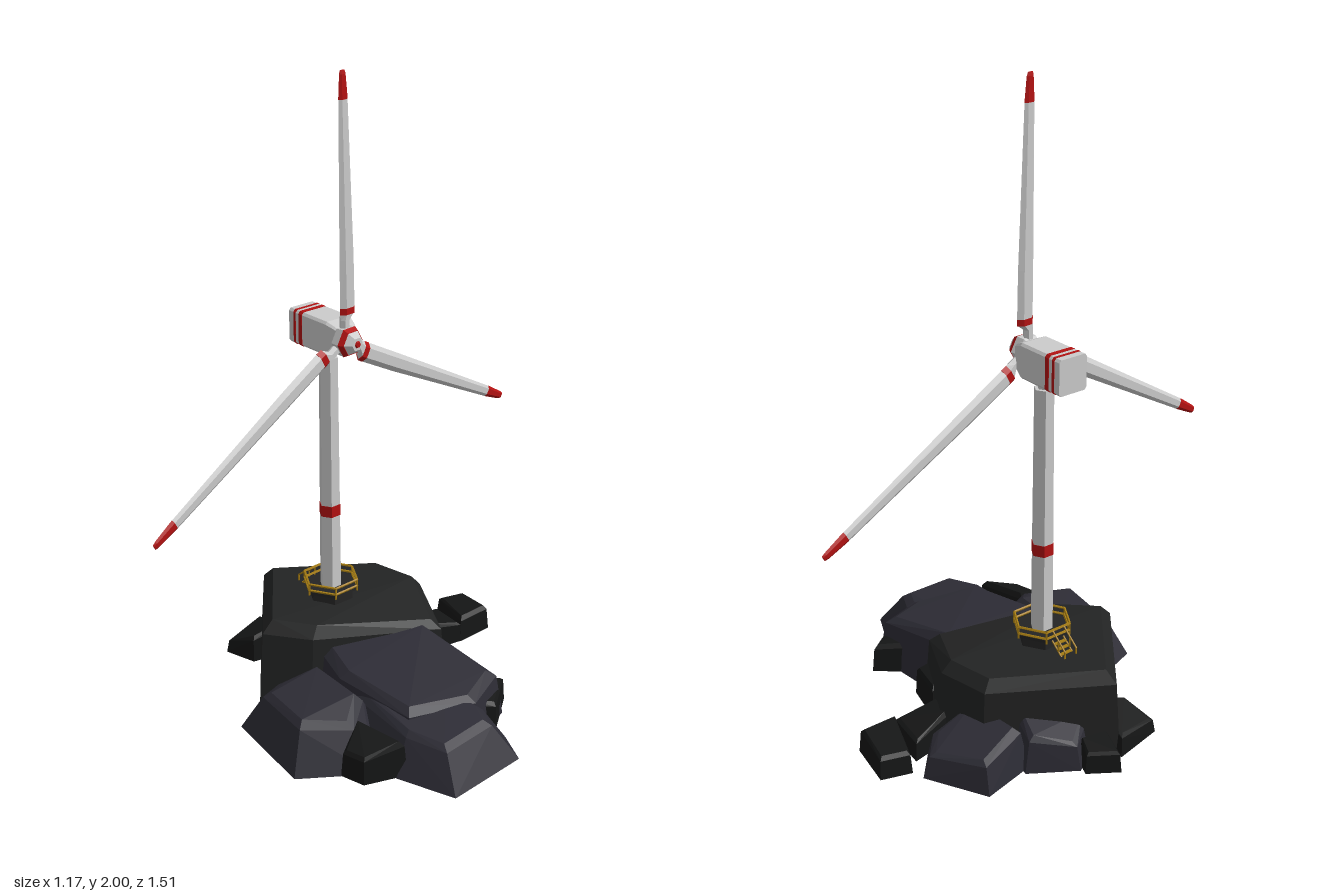
import * as THREE from 'three';
import { ConvexGeometry } from 'three/addons/geometries/ConvexGeometry.js';

const GREY = 0xcccccc, RED = 0xb31212, YELLOW = 0xa67d14, STEEL = 0x242424;
const ROCK = 0x222323, SLATE = 0x2d2c35, COAL = 0x151616;
const TOWER_X = -0.2, TOWER_Z = -0.011;

const materials = {};
const mat = (color) => (materials[color] ??= new THREE.MeshStandardMaterial({ color, flatShading: true }));

function add(parent, name, geometry, color, x = 0, y = 0, z = 0) {
  const mesh = new THREE.Mesh(geometry, mat(color));
  mesh.name = name;
  mesh.position.set(x, y, z);
  parent.add(mesh);
  return mesh;
}

// Capped skin along y. Sections are [y, halfX, halfZ, centreZ]; the profile is unit [x, z] corners.
function loft(sections, profile) {
  const n = profile.length, pos = [], index = [];
  for (const [y, rx, rz, cz = 0] of sections)
    for (const [px, pz] of profile) pos.push(px * rx, y, pz * rz + cz);
  for (let i = 0; i < sections.length - 1; i++)
    for (let j = 0; j < n; j++) {
      const a = i * n + j, b = i * n + (j + 1) % n;
      index.push(a, b, b + n, a, b + n, a + n);
    }
  const top = (sections.length - 1) * n;
  for (let j = 1; j < n - 1; j++) index.push(0, j + 1, j, top, top + j, top + j + 1);
  const g = new THREE.BufferGeometry();
  g.setAttribute('position', new THREE.Float32BufferAttribute(pos, 3));
  g.setIndex(index);
  const flat = g.toNonIndexed();
  flat.computeVertexNormals();
  return flat;
}
const HEX = Array.from({ length: 6 }, (_, k) => [Math.sin(k * Math.PI / 3), Math.cos(k * Math.PI / 3)]);
const CHAMFERED = [[-0.86, 1], [0.86, 1], [1, 0.86], [1, -0.86], [0.86, -1], [-0.86, -1], [-1, -0.86], [-1, 0.86]];

// Faceted boulder: footprint corners [x, z, height] with a shoulder and a smaller crown
function rock(parent, name, color, corners, shoulder = 0.9, crown = 0.72) {
  const cx = corners.reduce((s, p) => s + p[0], 0) / corners.length;
  const cz = corners.reduce((s, p) => s + p[1], 0) / corners.length;
  const pts = [];
  for (const [x, z, h] of corners)
    for (const [scale, y] of [[1, 0], [shoulder, h * 0.86], [crown, h]])
      pts.push(new THREE.Vector3(cx + (x - cx) * scale, y, cz + (z - cz) * scale));
  add(parent, name, new ConvexGeometry(pts), color);
}

// Round bar between two points
function bar(parent, name, a, b, r, color) {
  const p = new THREE.Vector3(...a), q = new THREE.Vector3(...b);
  const mesh = add(parent, name, new THREE.CylinderGeometry(r, r, p.distanceTo(q), 5), color);
  mesh.position.copy(p).lerp(q, 0.5);
  mesh.quaternion.setFromUnitVectors(new THREE.Vector3(0, 1, 0), q.sub(p).normalize());
}

function makeIsland() {
  const g = new THREE.Group();
  g.name = 'island';
  rock(g, 'mainRock', ROCK, [[-0.515, 0.04, 0.275], [-0.29, -0.31, 0.265], [-0.11, -0.345, 0.265],
    [0.12, -0.23, 0.225], [-0.06, 0.19, 0.275], [-0.19, 0.3, 0.285]], 0.95, 0.84);
  rock(g, 'rearRock', SLATE, [[-0.44, -0.4, 0.1], [-0.25, -0.5, 0.08], [-0.16, -0.42, 0.09],
    [-0.16, -0.24, 0.14], [-0.4, -0.22, 0.14]], 0.86, 0.72);
  rock(g, 'sideRock', SLATE, [[-0.51, -0.11, 0.09], [-0.42, -0.25, 0.12], [-0.25, -0.2, 0.16], [-0.42, 0.02, 0.12]], 0.86, 0.7);
  rock(g, 'ridgeRock', SLATE, [[-0.1, 0.15, 0.2], [0.04, -0.21, 0.215], [0.37, -0.24, 0.16],
    [0.43, -0.08, 0.15], [0.36, 0.16, 0.165], [0.06, 0.2, 0.19]], 0.92, 0.8);
  rock(g, 'shoreRock', SLATE, [[0.02, 0.2, 0.16], [0.28, -0.12, 0.15], [0.47, -0.15, 0.13],
    [0.575, -0.1, 0.125], [0.585, 0.18, 0.12], [0.4, 0.245, 0.13], [0.06, 0.23, 0.15]], 0.7, 0.6);
  rock(g, 'frontRock', SLATE, [[-0.16, 0.31, 0.135], [-0.1, 0.12, 0.165], [0.24, 0.14, 0.165],
    [0.34, 0.28, 0.13], [0.2, 0.475, 0.145], [-0.12, 0.43, 0.14]], 0.68, 0.56);
  // Small dark stones around the shore
  const stones = [
    [[-0.53, -0.11, 0.07], [-0.46, -0.08, 0.08], [-0.48, 0.02, 0.08], [-0.59, -0.02, 0.07]],
    [[-0.535, 0.03, 0.07], [-0.36, 0.04, 0.12], [-0.39, 0.17, 0.09], [-0.5, 0.2, 0.05]],
    [[-0.18, -0.605, 0.07], [-0.02, -0.575, 0.085], [-0.02, -0.44, 0.085], [-0.21, -0.51, 0.07]],
    [[-0.17, -0.47, 0.065], [-0.02, -0.45, 0.07], [-0.05, -0.3, 0.1], [-0.14, -0.32, 0.1]],
    [[-0.02, -0.3, 0.11], [0.13, -0.26, 0.1], [0.11, -0.2, 0.12], [-0.02, -0.22, 0.12]],
    [[0.25, -0.22, 0.1], [0.32, -0.3, 0.09], [0.42, -0.16, 0.09], [0.36, -0.06, 0.11]],
    [[0.22, 0.25, 0.13], [0.41, 0.21, 0.12], [0.36, 0.34, 0.09], [0.28, 0.36, 0.09]],
  ];
  stones.forEach((s, i) => rock(g, `stone${i + 1}`, COAL, s, 0.92, 0.78));
  return g;
}

function makePlatform() {
  const g = new THREE.Group();
  g.name = 'platform';
  g.position.set(TOWER_X, 0, TOWER_Z);
  add(g, 'plinth', new THREE.CylinderGeometry(0.074, 0.078, 0.07, 6), STEEL, 0, 0.27);
  add(g, 'deck', new THREE.CylinderGeometry(0.088, 0.088, 0.01, 6), STEEL, 0, 0.31);
  // Hexagonal guard rail
  HEX.forEach(([x, z], k) => {
    const r = 0.091, [nx, nz] = HEX[(k + 1) % 6];
    bar(g, 'railPost', [x * r, 0.305, z * r], [x * r, 0.345, z * r], 0.0035, YELLOW);
    for (const y of [0.322, 0.344])
      bar(g, 'rail', [x * r, y, z * r], [nx * r, y, nz * r], 0.0042, YELLOW);
  });
  // Steps with handrails
  for (const z of [-0.022, 0.022]) {
    bar(g, 'handrail', [-0.078, 0.345, z], [-0.14, 0.295, z], 0.003, YELLOW);
    bar(g, 'stringer', [-0.078, 0.308, z], [-0.135, 0.262, z], 0.003, YELLOW);
    bar(g, 'handrailPost', [-0.138, 0.297, z], [-0.138, 0.26, z], 0.003, YELLOW);
    bar(g, 'handrailPost', [-0.108, 0.321, z], [-0.108, 0.285, z], 0.003, YELLOW);
  }
  for (let i = 0; i < 4; i++)
    add(g, 'step', new THREE.BoxGeometry(0.012, 0.003, 0.044), YELLOW, -0.088 - i * 0.014, 0.299 - i * 0.0113);
  return g;
}

function makeTower() {
  const g = new THREE.Group();
  g.name = 'tower';
  g.position.set(TOWER_X, 0, TOWER_Z);
  add(g, 'shaft', new THREE.CylinderGeometry(0.031, 0.036, 0.82, 6), GREY, 0, 0.7);
  add(g, 'towerBand', new THREE.CylinderGeometry(0.0352, 0.0355, 0.038, 6), RED, 0, 0.59);
  add(g, 'neck', new THREE.CylinderGeometry(0.02, 0.02, 0.03, 6), GREY, 0, 1.122);
  return g;
}

function makeNacelle() {
  const g = new THREE.Group();
  g.name = 'nacelle';
  g.position.set(0, 1.19, -0.013);
  g.rotation.z = -Math.PI / 2; // loft axis along +x
  add(g, 'housing', loft([[-0.328, 0.055, 0.05], [-0.155, 0.055, 0.05],
    [-0.125, 0.042, 0.04], [-0.105, 0.03, 0.03]], CHAMFERED), GREY);
  for (const [a, b] of [[-0.306, -0.296], [-0.282, -0.266]])
    add(g, 'nacelleStripe', loft([[a, 0.056, 0.051], [b, 0.056, 0.051]], CHAMFERED), RED);
  return g;
}

function makeBlade(length) {
  const g = new THREE.Group();
  g.name = 'blade';
  add(g, 'bladeRoot', loft([[0.025, 0.015, 0.015], [0.065, 0.015, 0.016], [0.083, 0.0155, 0.029, -0.011]], HEX), GREY);
  add(g, 'bladeBand', loft([[0.083, 0.0165, 0.031, -0.013], [0.103, 0.0165, 0.0315, -0.013]], HEX), RED);
  add(g, 'bladeBody', loft([[0.103, 0.0155, 0.0305, -0.013], [0.25, 0.014, 0.0295, -0.011], [0.724, 0.008, 0.0185, 0]], HEX), GREY);
  add(g, 'bladeTip', loft([[0.724, 0.0083, 0.019, 0], [0.795, 0.0055, 0.013, 0.002], [0.806, 0.003, 0.0095, 0.003]], HEX), RED);
  g.scale.y = length / 0.806;
  return g;
}

function makeRotor() {
  const g = new THREE.Group();
  g.name = 'rotor';
  g.position.set(-0.106, 1.194, 0.004);
  g.rotation.y = 0.076;
  // Hub with coloured ring and nose
  const hub = new THREE.Group();
  hub.name = 'hub';
  hub.rotation.z = -Math.PI / 2;
  add(hub, 'hubBody', loft([[-0.02, 0.034, 0.034], [-0.008, 0.047, 0.047], [0.02, 0.049, 0.049]], HEX), GREY);
  add(hub, 'hubRing', loft([[0.02, 0.05, 0.05], [0.036, 0.041, 0.041]], HEX), RED);
  add(hub, 'nose', loft([[0.036, 0.039, 0.039], [0.055, 0.022, 0.022]], HEX), GREY);
  add(hub, 'noseCap', loft([[0.055, 0.012, 0.012], [0.06, 0.009, 0.009]], HEX), RED);
  g.add(hub);
  for (const [angle, length] of [[0, 0.806], [2.068, 0.859], [-2.068, 0.859]]) {
    const blade = makeBlade(length);
    blade.rotation.x = angle;
    g.add(blade);
  }
  return g;
}

export function createModel() {
  const model = new THREE.Group();
  model.name = 'windTurbineOnRocks';
  model.add(makeIsland(), makePlatform(), makeTower(), makeNacelle(), makeRotor());
  return model;
}
